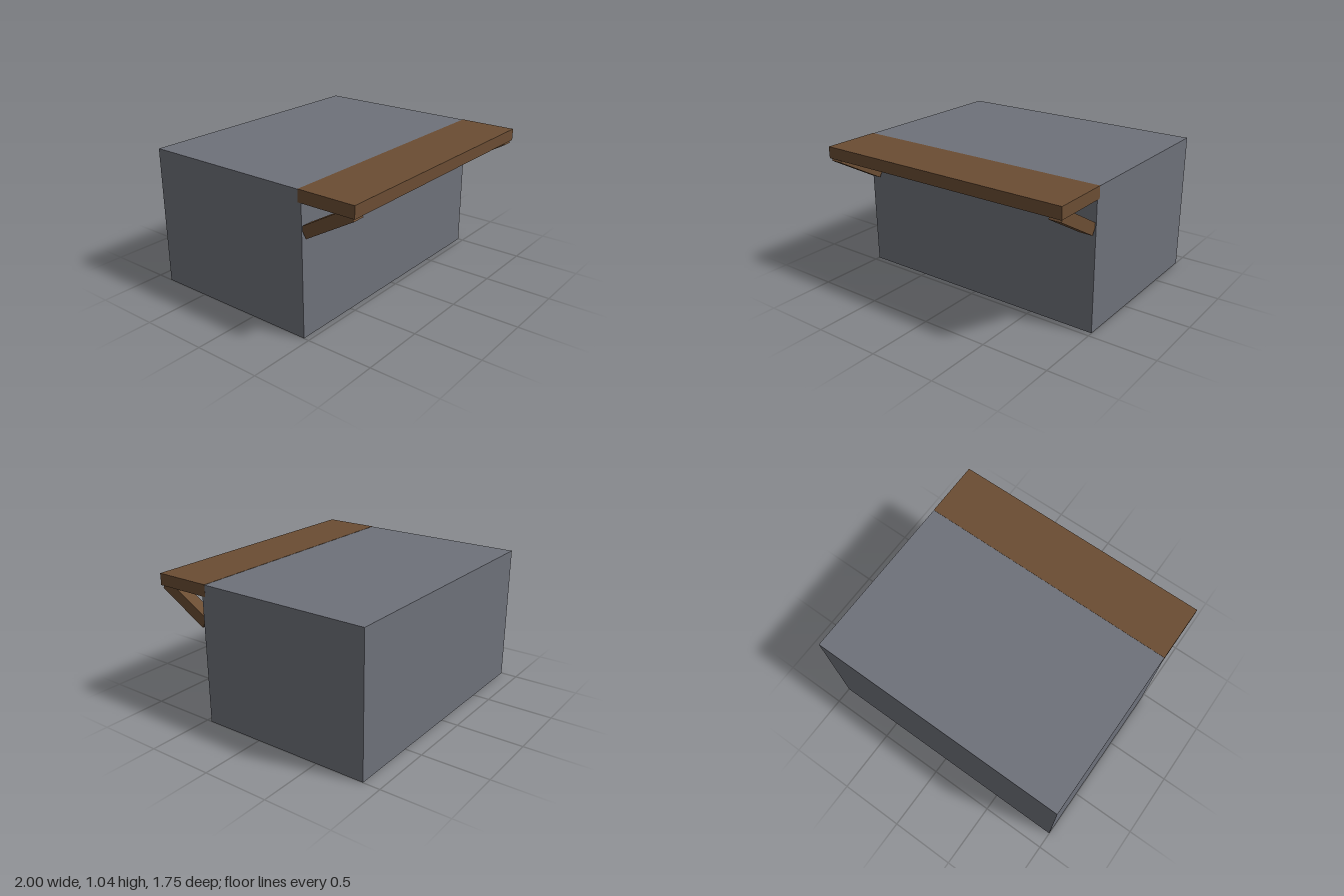
import * as THREE from 'three';

export function createModel() {
  const model = new THREE.Group();
  model.name = 'counterBlock';
  const grey = new THREE.MeshStandardMaterial({ color: 0x6e717a });
  grey.name = 'slate grey';
  const brown = new THREE.MeshStandardMaterial({ color: 0x6b4d33 });
  brown.name = 'wood brown';

  const addBox = (name, material, size, position) => {
    const mesh = new THREE.Mesh(new THREE.BoxGeometry(...size), material);
    mesh.name = name;
    mesh.position.set(...position);
    model.add(mesh);
    return mesh;
  };

  // Solid main block
  addBox('body', grey, [1.998, 1.043, 1.333], [0, 0.5215, -0.2065]);

  // Wooden ledge, let into the top front edge
  addBox('ledge', brown, [2, 0.088, 0.439], [0, 1.001, 0.6535]);

  // Slanted braces under each end of the ledge
  for (const side of [-1, 1]) {
    const brace = addBox(side > 0 ? 'leftBrace' : 'rightBrace', brown,
      [0.092, 0.085, 0.432], [side * 0.945, 0.865, 0.653]);
    brace.rotation.x = -Math.PI / 6;
  }

  return model;
}
